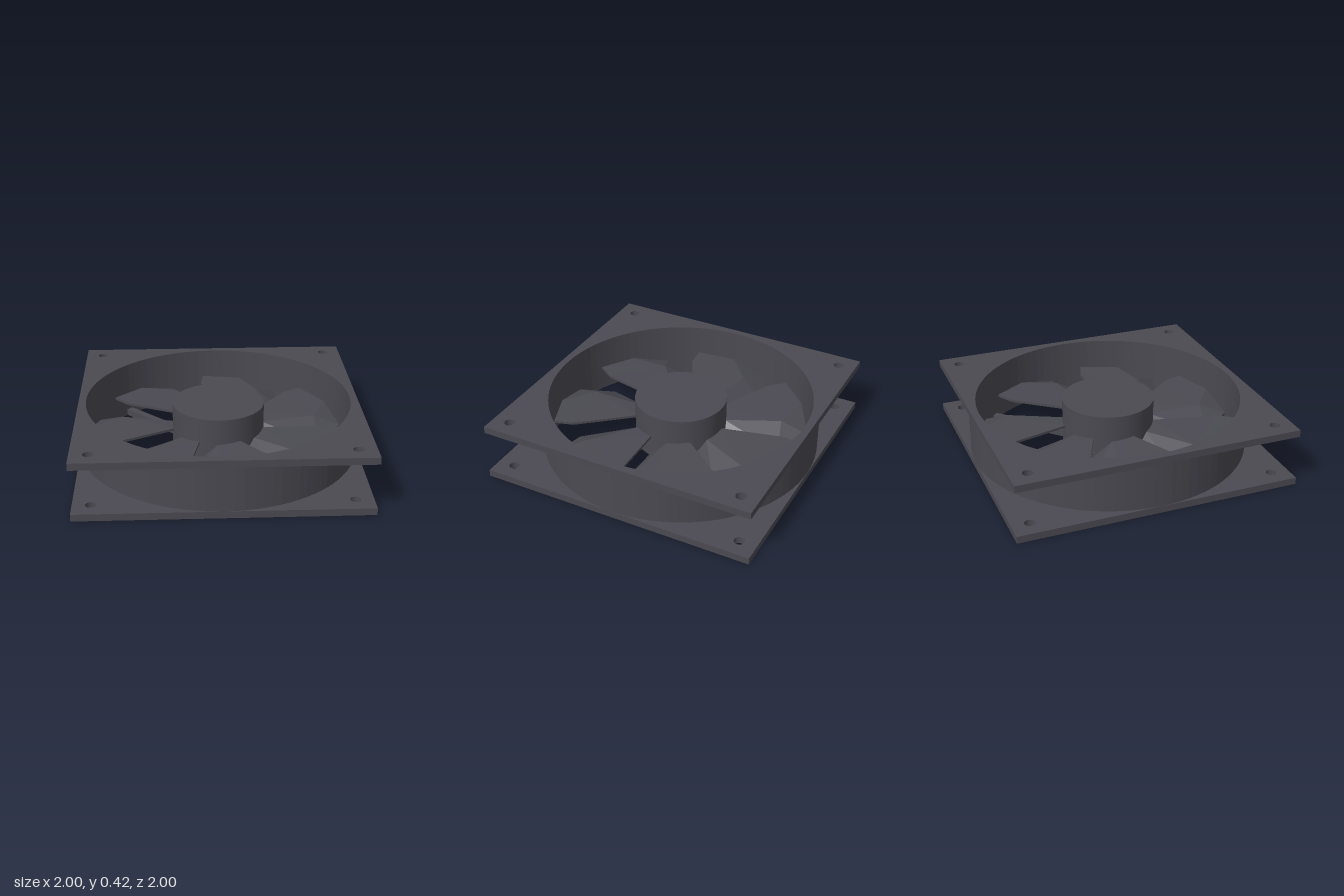
import * as THREE from 'three';

const R_BORE = 0.948;
const HEIGHT = 0.42;
const PLATE = 0.05;

function extrudeUp(shape, y, depth, curveSegments) {
  const g = new THREE.ExtrudeGeometry(shape, { depth, bevelEnabled: false, curveSegments });
  g.rotateX(-Math.PI / 2);
  g.translate(0, y, 0);
  return g;
}

function circlePath(PathClass, x, y, r) {
  const p = new PathClass();
  p.absarc(x, y, r, 0, Math.PI * 2, false);
  return p;
}

// Square flange with the large bore and four screw holes
function plateShape() {
  const s = new THREE.Shape([[-1, -1], [1, -1], [1, 1], [-1, 1]].map(p => new THREE.Vector2(...p)));
  s.holes.push(circlePath(THREE.Path, 0, 0, R_BORE));
  for (const x of [-0.875, 0.875])
    for (const y of [-0.875, 0.875]) s.holes.push(circlePath(THREE.Path, x, y, 0.036));
  return s;
}

// Folded blade: flat leading panel, sloping trailing panel and clipped tip
function bladeGeometry() {
  const thickness = 0.018;
  // angle in degrees, radius, height of the upper surface
  const points = {
    H1: [65, 0.32, 0.215], H2: [93, 0.32, 0.2], H3: [115, 0.32, 0.08],
    M1: [56.5, 0.78, 0.215], M2: [91.5, 0.73, 0.2], M3: [109, 0.74, 0.08],
    T1: [59, 0.92, 0.215], T2: [77, 0.915, 0.205], T3: [95, 0.92, 0.13],
  };
  const panels = [['M2', 'H2', 'H1', 'M1', 'T1', 'T2'], ['H2', 'M2', 'M3', 'H3'], ['M2', 'T2', 'T3', 'M3']];
  const outline = ['H1', 'M1', 'T1', 'T2', 'T3', 'M3', 'H3', 'H2'];
  const at = (name, drop) => {
    const [deg, r, y] = points[name];
    const a = THREE.MathUtils.degToRad(deg);
    return [r * Math.cos(a), y - drop, r * Math.sin(a)];
  };
  const pos = [];
  const tri = (a, b, c) => pos.push(...a, ...b, ...c);
  for (const p of panels) {
    for (let i = 1; i < p.length - 1; i++) {
      tri(at(p[0], 0), at(p[i + 1], 0), at(p[i], 0));
      tri(at(p[0], thickness), at(p[i], thickness), at(p[i + 1], thickness));
    }
  }
  // thin rim joining the two surfaces
  outline.forEach((a, i) => {
    const b = outline[(i + 1) % outline.length];
    tri(at(a, 0), at(b, 0), at(b, thickness));
    tri(at(a, 0), at(b, thickness), at(a, thickness));
  });
  const g = new THREE.BufferGeometry();
  g.setAttribute('position', new THREE.Float32BufferAttribute(pos, 3));
  g.computeVertexNormals();
  return g;
}

export function createModel() {
  const model = new THREE.Group();
  model.name = 'coolingFan';
  const plastic = new THREE.MeshStandardMaterial({ color: 0x4b4a52 });
  plastic.name = 'dark grey plastic';

  const add = (geometry, name, parent = model) => {
    const mesh = new THREE.Mesh(geometry, plastic);
    mesh.name = name;
    parent.add(mesh);
    return mesh;
  };

  // Frame: two flanges joined by a round duct
  add(extrudeUp(plateShape(), 0, PLATE, 48), 'bottomFlange');
  add(extrudeUp(plateShape(), HEIGHT - PLATE, PLATE, 48), 'topFlange');
  const ring = circlePath(THREE.Shape, 0, 0, 0.998);
  ring.holes.push(circlePath(THREE.Path, 0, 0, R_BORE));
  add(extrudeUp(ring, PLATE, HEIGHT - 2 * PLATE, 48), 'duct');

  // Diagonal support struts crossing under the hub
  for (const s of [1, -1]) {
    const strut = add(new THREE.BoxGeometry(1.92, PLATE - 0.002, 0.055), 'supportStrut');
    strut.position.y = PLATE / 2;
    strut.rotation.y = s * Math.PI / 4;
  }

  // Rotor: hub with seven blades
  const rotor = new THREE.Group();
  rotor.name = 'rotor';
  model.add(rotor);
  const hub = add(new THREE.CylinderGeometry(0.33, 0.33, 0.345, 64), 'hub', rotor);
  hub.position.y = 0.2175;
  const blade = bladeGeometry();
  for (let i = 0; i < 7; i++) {
    add(blade, 'blade', rotor).rotation.y = -i * Math.PI * 2 / 7;
  }
  return model;
}
